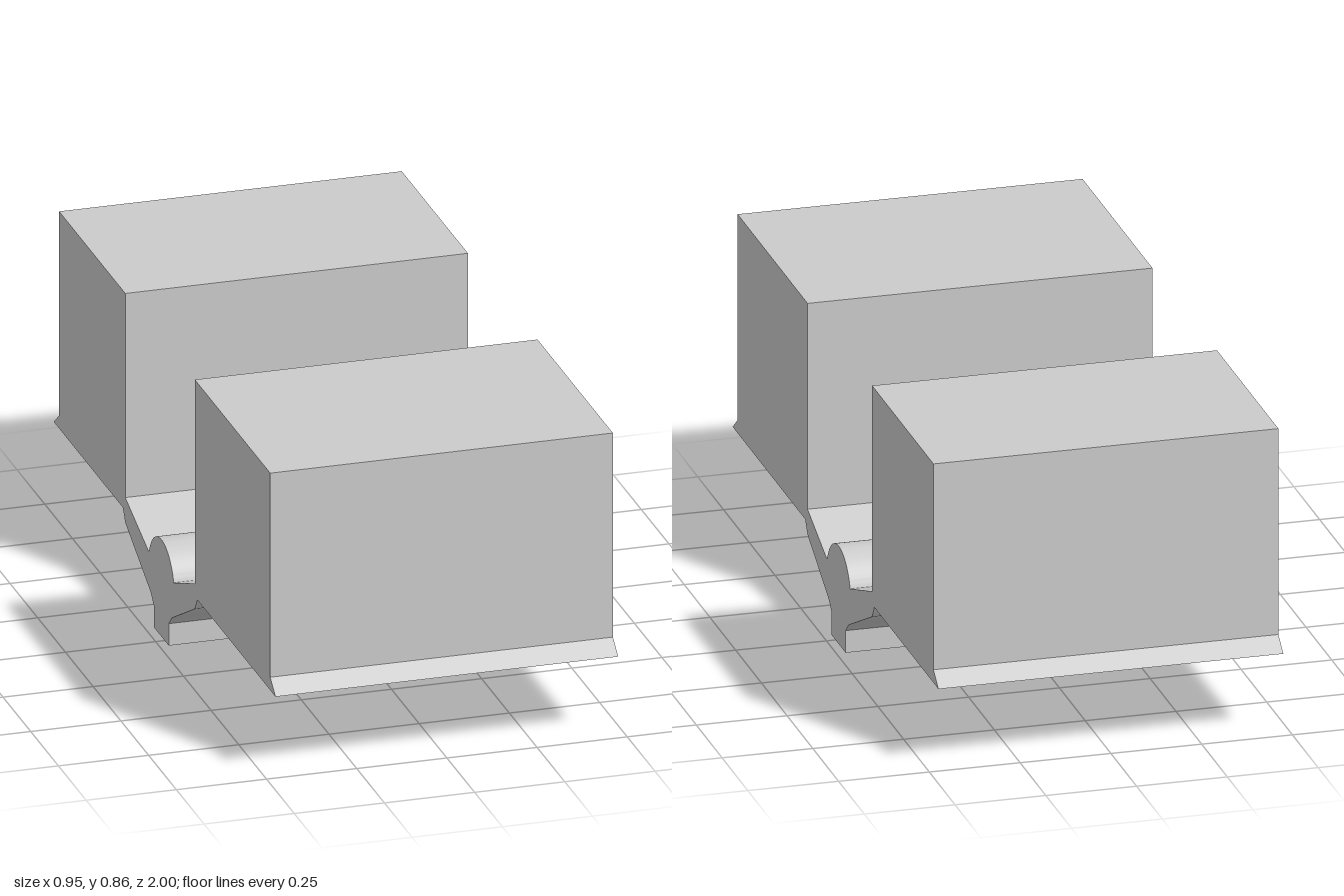
import * as THREE from 'three';
import { toCreasedNormals } from 'three/addons/utils/BufferGeometryUtils.js';

const WIDTH = 0.95;
const material = new THREE.MeshStandardMaterial({ color: 0xcccccc });

// Extrude a (z, y) profile across the full width in x
function prism(name, shape) {
  const geo = new THREE.ExtrudeGeometry(shape, { depth: WIDTH, bevelEnabled: false, curveSegments: 32 });
  geo.rotateY(-Math.PI / 2);
  geo.translate(WIDTH / 2, 0, 0);
  const mesh = new THREE.Mesh(toCreasedNormals(geo, 0.6), material);
  mesh.name = name;
  return mesh;
}

const polygon = (points) => new THREE.Shape(points.map(([z, y]) => new THREE.Vector2(z, y)));

// Tall block with a small sloped lip along its outer foot
function block(name, side, inner) {
  const points = [[inner, 0.233], [1, 0.233], [0.952, 0.27], [0.952, 0.855], [inner, 0.855]];
  return prism(name, polygon(points.map(([z, y]) => [z * side, y])));
}

// Central hinge: two sloped arms, a foot below and a round bead on top
function hinge() {
  const shape = polygon([
    [-0.03, 0], [0.037, 0], [0.037, 0.063], [0.064, 0.09],
    [0.272, 0.198], [0.295, 0.233], [0.272, 0.27], [0.082, 0.198],
  ]);
  const start = Math.atan2(0.038, 0.112);
  shape.absarc(-0.03, 0.16, 0.118, start, Math.PI - start, false);
  [
    [-0.142, 0.198], [-0.355, 0.27], [-0.377, 0.233], [-0.355, 0.198],
    [-0.127, 0.09], [-0.098, 0.063], [-0.098, 0],
  ].forEach(([z, y]) => shape.lineTo(z, y));
  return prism('hinge', shape);
}

export function createModel() {
  const group = new THREE.Group();
  group.name = 'hingedBlocks';
  group.add(block('frontBlock', 1, 0.272), block('backBlock', -1, 0.355), hinge());
  return group;
}
